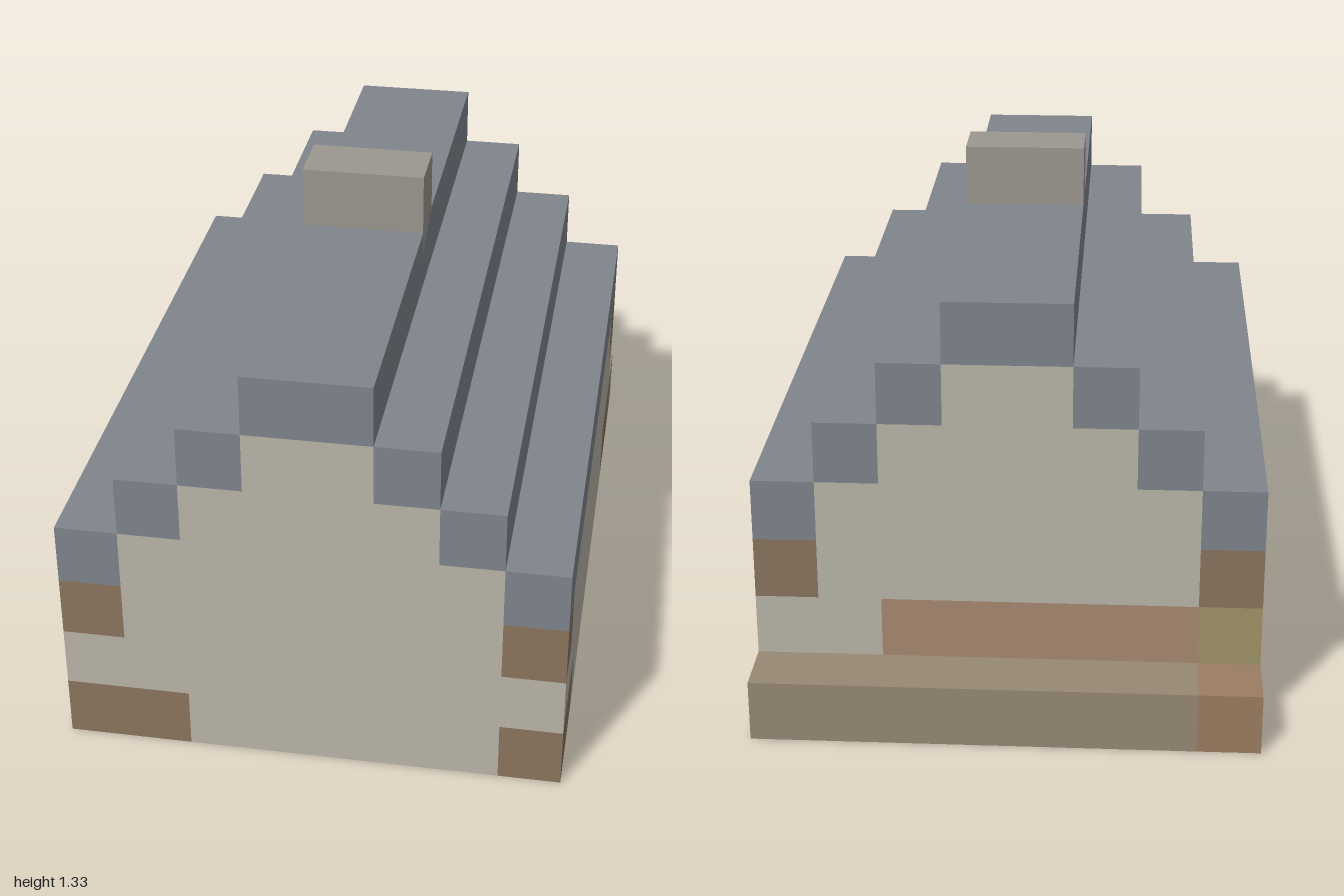
import * as THREE from 'three';
import { mergeGeometries } from 'three/addons/utils/BufferGeometryUtils.js';

const U = 1 / 6; // one block
const COLORS = {
  plaster: 0xbab6a8, timber: 0x8b755f, slate: 0x7f858c, stone: 0x9b9890,
  plank: 0x978a75, plankEnd: 0x9b7d62, door: 0xa88a72, straw: 0xa09468,
  floor: 0x4a3f36, panel: 0x8c6d56,
};

// Rectangle from a corner and two edge vectors, in blocks; faces along u x v.
function quad(p, u, v) {
  const at = (a, b) => p.map((c, i) => (c + a * u[i] + b * v[i]) * U);
  const g = new THREE.BufferGeometry();
  g.setAttribute('position', new THREE.Float32BufferAttribute(
    [at(0, 0), at(1, 0), at(1, 1), at(0, 1)].flat(), 3));
  g.setIndex([0, 1, 2, 0, 2, 3]);
  g.computeVertexNormals();
  return g;
}

// Collects rectangles by colour and turns them into one named group.
class Part {
  constructor(name) { this.name = name; this.quads = {}; }
  add(color, p, u, v) { (this.quads[color] ??= []).push(quad(p, u, v)); }
  // Open-bottomed block
  block(color, [x0, x1], [y0, y1], [z0, z1]) {
    const w = x1 - x0, h = y1 - y0, d = z1 - z0;
    this.add(color, [x0, y0, z1], [w, 0, 0], [0, h, 0]);
    this.add(color, [x1, y0, z0], [-w, 0, 0], [0, h, 0]);
    this.add(color, [x1, y0, z1], [0, 0, -d], [0, h, 0]);
    this.add(color, [x0, y0, z0], [0, 0, d], [0, h, 0]);
    this.add(color, [x0, y1, z1], [w, 0, 0], [0, 0, -d]);
  }
  build() {
    const group = new THREE.Group();
    group.name = this.name;
    for (const [color, list] of Object.entries(this.quads)) {
      const mesh = new THREE.Mesh(mergeGeometries(list), new THREE.MeshStandardMaterial({
        color: COLORS[color], side: THREE.DoubleSide, flatShading: true }));
      mesh.name = `${this.name} ${color}`;
      group.add(mesh);
    }
    return group;
  }
}

// Each row is a list of [from, to, colour] spans, one block high.
function gableWall(name, z, dir, lowRows) {
  const part = new Part(name);
  const rows = [...lowRows];
  for (let i = 0; i < 3; i++) {
    const a = 4 - i, b = 3 - i;
    rows.push([[-a, -b, 'slate'], [-b, b, 'plaster'], [b, a, 'slate']]);
  }
  rows.push([[-1, 1, 'slate']]);
  rows.forEach((row, y) => row.forEach(([a, b, c]) =>
    part.add(c, [dir > 0 ? a : b, y, z], [dir * (b - a), 0, 0], [0, 1, 0])));
  return part.build();
}

function sideWall(name, dir, rows) {
  const part = new Part(name);
  rows.forEach((row, y) => row.forEach(([a, b, c]) =>
    part.add(c, [dir * 4, y, dir > 0 ? b : a], [0, 0, dir * (a - b)], [0, 1, 0])));
  return part.build();
}

export function createModel() {
  const model = new THREE.Group();
  model.name = 'cottage';

  // Gable walls with timber corners; the back one starts above the step
  const beam = [[-4, -3, 'timber'], [-3, 3, 'plaster'], [3, 4, 'timber']];
  model.add(gableWall('frontWall', 6, 1, [
    [[-4, -2, 'timber'], [-2, 3, 'plaster'], [3, 4, 'timber']],
    [[-4, 4, 'plaster']], beam]));
  model.add(gableWall('backWall', -5, -1, [
    [], [[-4, -3, 'straw'], [-3, 2, 'door'], [2, 4, 'plaster']], beam]));

  // Long walls
  const foot = [[-5, -3, 'timber'], [-3, 4, 'plaster'], [4, 6, 'timber']];
  const head = [[-5, -4, 'timber'], [-4, 5, 'plaster'], [5, 6, 'timber']];
  model.add(sideWall('leftWall', 1, [foot, [[-5, 6, 'plaster']], head]));
  model.add(sideWall('rightWall', -1, [
    foot, [[-5, -4, 'straw'], [-4, 6, 'plaster']], head]));

  // Stepped roof
  const roof = new Part('roof');
  for (const s of [1, -1]) {
    for (let i = 0; i < 4; i++) {
      const x = 4 - i, y = 3 + i;
      roof.add('slate', [s * x, y, s > 0 ? 6 : -5], [0, 0, -s * 11], [0, 1, 0]);
      roof.add('slate', [s > 0 ? x - 1 : -x, y + 1, 6], [1, 0, 0], [0, 0, -11]);
    }
  }
  model.add(roof.build());

  // Chimney stack, rising from the room floor
  const chimney = new Part('chimney');
  chimney.block('stone', [-1, 1], [1, 8], [0, 1]);
  model.add(chimney.build());

  // Step along the back, hollow below and open towards the house
  const step = new Part('backStep');
  for (const [a, b, c] of [[-4, -3, 'plankEnd'], [-3, 4, 'plank']]) {
    step.add(c, [b, 0, -6], [a - b, 0, 0], [0, 1, 0]);
    step.add(c, [a, 1, -5], [b - a, 0, 0], [0, 0, -1]);
  }
  step.add('plank', [4, 0, -5], [0, 0, -1], [0, 1, 0]);
  step.add('plankEnd', [-4, 0, -6], [0, 0, 1], [0, 1, 0]);
  model.add(step.build());

  // Room floor around the chimney
  const floor = new Part('roomFloor');
  for (const [x0, x1, z0, z1] of [[-3, 3, -4, 0], [-3, 3, 1, 5], [-3, -1, 0, 1], [1, 3, 0, 1]])
    floor.add('floor', [x0, 1, z1], [x1 - x0, 0, 0], [0, 0, z0 - z1]);
  model.add(floor.build());

  // Inner room walls
  const room = new Part('roomWalls');
  room.add('panel', [-3, 1, -4], [6, 0, 0], [0, 3, 0]);
  room.add('plaster', [3, 1, 5], [-6, 0, 0], [0, 3, 0]);
  room.add('plaster', [-3, 1, 5], [0, 0, -9], [0, 3, 0]);
  room.add('plaster', [3, 1, -4], [0, 0, 9], [0, 3, 0]);
  model.add(room.build());

  return model;
}
